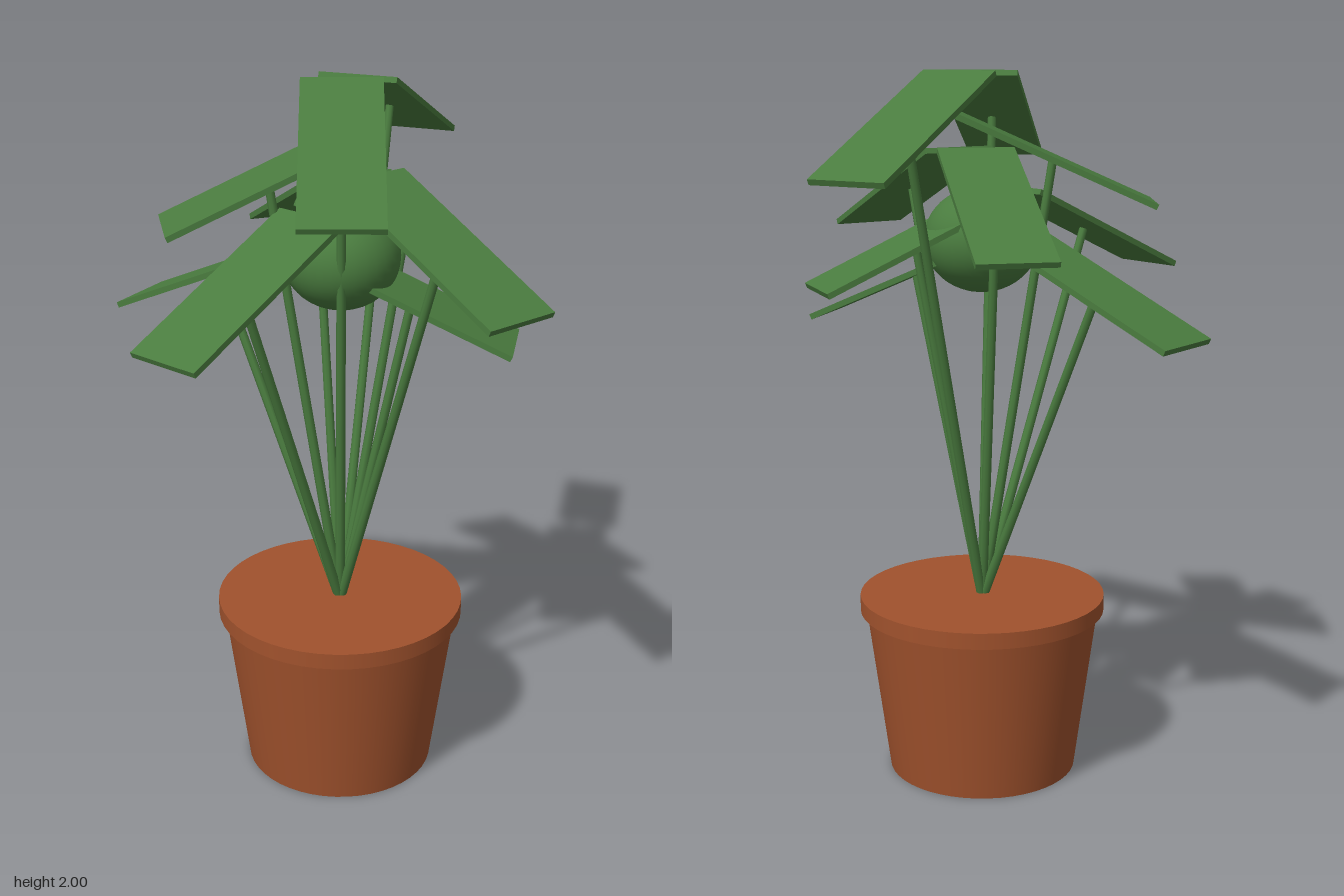
import * as THREE from 'three';

export function createModel() {
  const model = new THREE.Group();
  model.name = 'pottedPlant';
  const clay = new THREE.MeshStandardMaterial({ color: 0xa0522d });
  const green = new THREE.MeshStandardMaterial({ color: 0x4a7c3f });

  const add = (parent, name, geometry, material, y = 0) => {
    const mesh = new THREE.Mesh(geometry, material);
    mesh.name = name;
    mesh.position.y = y;
    parent.add(mesh);
    return mesh;
  };

  // Everything grows around the pot's axis, which is slightly off centre
  const plant = new THREE.Group();
  plant.name = 'plant';
  plant.position.set(0.04, 0, 0.024);
  model.add(plant);

  // Tapered pot with a closed rim
  add(plant, 'pot', new THREE.CylinderGeometry(0.337, 0.27, 0.5, 48), clay, 0.25);
  add(plant, 'potRim', new THREE.CylinderGeometry(0.351, 0.351, 0.046, 48), clay, 0.498);

  // Slightly flattened ball at the heart of the foliage
  add(plant, 'foliageBall', new THREE.SphereGeometry(0.16, 32, 24), green, 1.54).scale.y = 0.9;

  // Nine stems fan out, each carrying a drooping flat leaf
  const leafGeometry = new THREE.BoxGeometry(0.218, 0.016, 0.605);
  const up = new THREE.Vector3(0, 1, 0);
  const root = new THREE.Vector3(0, 0.5, 0);
  for (let i = 0; i < 9; i++) {
    const branch = new THREE.Group();
    branch.name = 'branch' + (i + 1);
    branch.rotation.y = THREE.MathUtils.degToRad(90 - i * 40);
    plant.add(branch);

    const tip = new THREE.Vector3(0, 1.44 + 0.107 * ((i * 2) % 5), i % 2 ? 0.395 : 0.195);
    const leaf = add(branch, 'leaf', leafGeometry, green);
    leaf.position.copy(tip);
    leaf.rotation.x = 0.42;

    const span = tip.clone().sub(root);
    const stem = add(branch, 'stem', new THREE.CylinderGeometry(0.012, 0.014, span.length(), 8), green);
    stem.position.copy(root).addScaledVector(span, 0.5);
    stem.quaternion.setFromUnitVectors(up, span.normalize());
  }
  return model;
}
